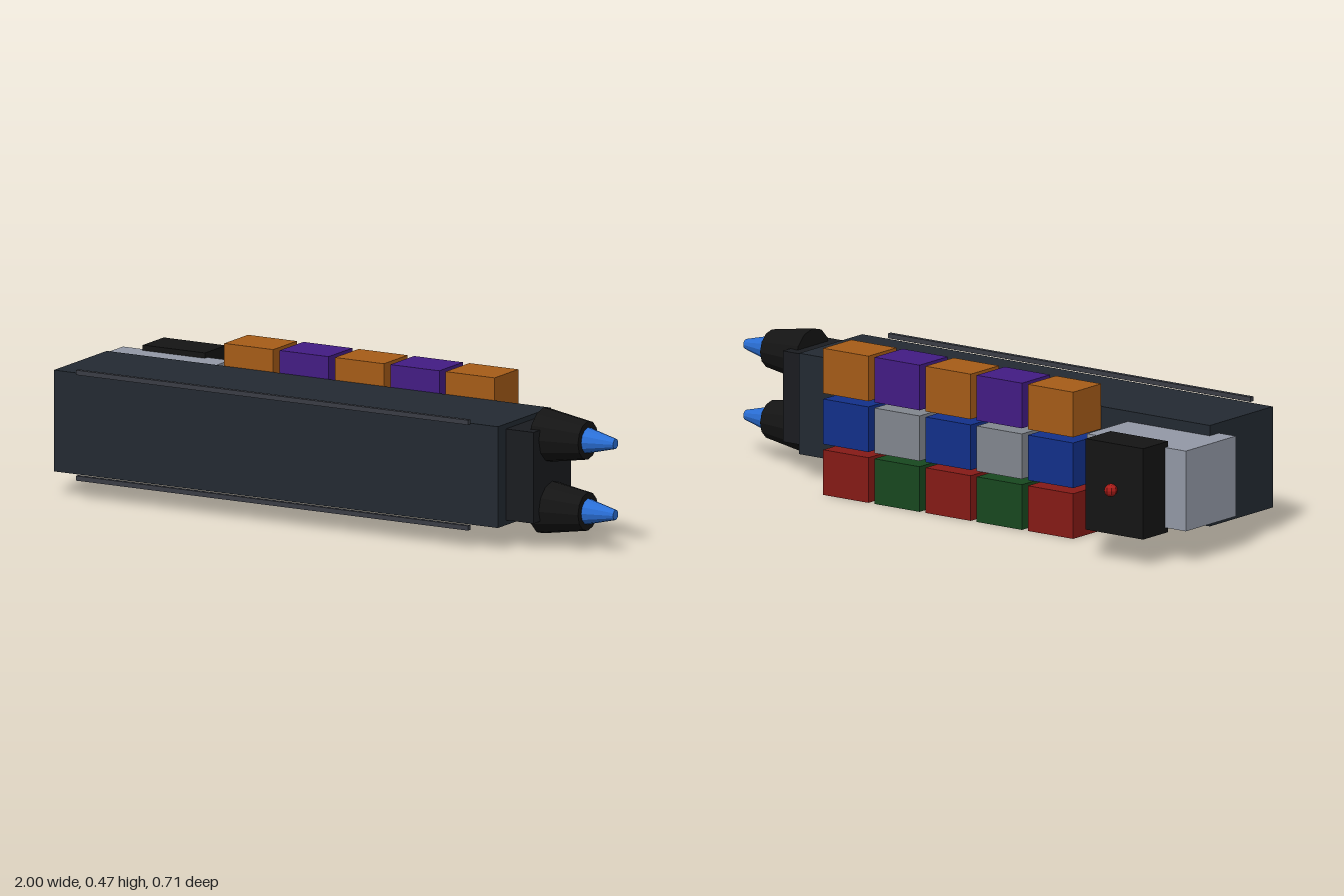
import * as THREE from 'three';

const material = (color) => new THREE.MeshStandardMaterial({ color, flatShading: true });
const HULL = material(0x232a32), BLACK = material(0x141414), DARK = material(0x1a1c20);
const STEEL = material(0x9399a6), RAIL = material(0x3a3d45), FLAME = material(0x2a6fd6);
const RED = material(0x861a16), GREEN = material(0x18481f), BLUE = material(0x12308a);
const GREY = material(0x82878f), ORANGE = material(0xa65c18), PURPLE = material(0x431c84);

export function createModel() {
  const ship = new THREE.Group();
  ship.name = 'cargoShip';

  const add = (name, geometry, mat, x, y, z) => {
    const mesh = new THREE.Mesh(geometry, mat);
    mesh.name = name;
    mesh.position.set(x, y, z);
    ship.add(mesh);
    return mesh;
  };
  const box = (name, mat, size, position) =>
    add(name, new THREE.BoxGeometry(...size), mat, ...position);
  // Tapered round part pointing along +x
  const cone = (name, mat, tip, base, x0, x1, y, z) =>
    add(name, new THREE.CylinderGeometry(tip, base, x1 - x0, 12).rotateZ(-Math.PI / 2),
      mat, (x0 + x1) / 2, y, z);

  const midY = 0.235, hullZ = 0.169;

  // Long hull and engine block
  box('hull', HULL, [1.605, 0.322, 0.322], [-0.132, midY, hullZ]);
  box('engineBlock', DARK, [0.12, 0.29, 0.226], [0.711, midY, hullZ]);

  for (const side of [-1, 1]) {
    // Engine bells with exhaust cones
    const y = midY + side * 0.113;
    cone('engineBell', BLACK, 0.061, 0.087, 0.74, 0.9, y, hullZ);
    cone('exhaust', FLAME, 0.016, 0.046, 0.88, 1.0, y, hullZ);
    // Slim rails beside the hull edges
    box('rail', RAIL, [1.417, 0.015, 0.015], [-0.132, midY + side * 0.168, 0.346]);
  }

  // Cargo containers: three rows of five, alternating colours
  const rows = [[RED, GREEN], [BLUE, GREY], [ORANGE, PURPLE]];
  rows.forEach((colors, row) => {
    for (let i = 0; i < 5; i++) {
      box('container', colors[i % 2], [0.177, 0.144, 0.144],
        [-0.421 + i * 0.2, 0.072 + row * 0.162, -0.063]);
    }
  });

  // Command module, its dark cabin and beacon
  box('commandModule', STEEL, [0.387, 0.256, 0.256], [-0.807, midY, -0.073]);
  box('cabin', BLACK, [0.225, 0.29, 0.128], [-0.807, midY, -0.249]);
  add('beacon', new THREE.SphereGeometry(0.021, 8, 6), material(0xa81c18), -0.807, midY, -0.331);

  return ship;
}
